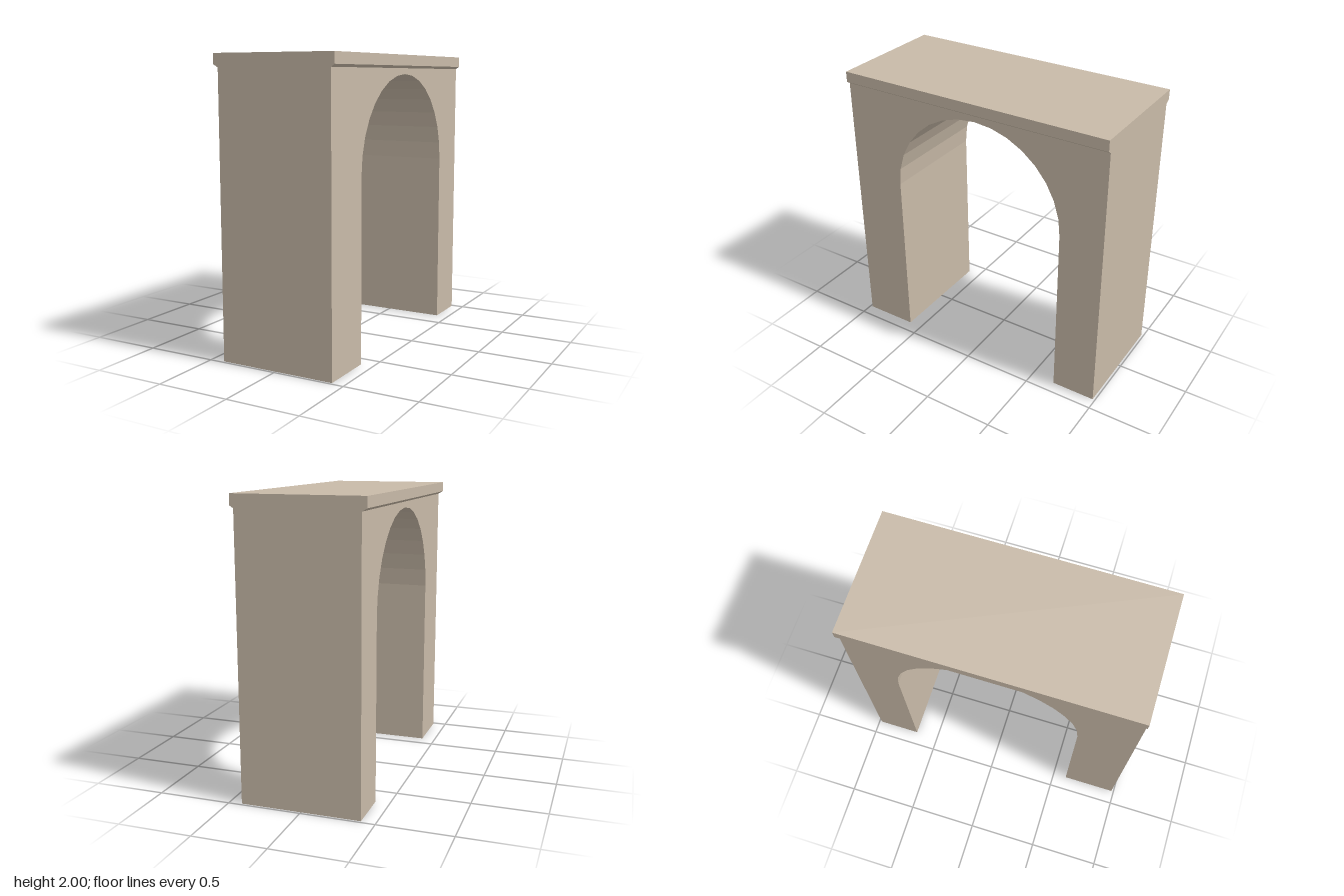
import * as THREE from 'three';

const stone = new THREE.MeshStandardMaterial({ color: 0xc8baa8, flatShading: true });
const HALF_LENGTH = 0.983;
const BODY_TOP = 1.91;

// Outline points to a closed shape
const outline = (points) => new THREE.Shape(points.map(([x, y]) => new THREE.Vector2(x, y)));

// Two piers joined by an off-centre round arch, extruded across the width
function archBody() {
  const center = 0.036, radius = 0.637, spring = 1.233, segments = 16;
  const points = [[-HALF_LENGTH, 0], [center - radius, 0]];
  for (let i = 0; i <= segments; i++) {
    const a = Math.PI * (1 - i / segments);
    points.push([center + radius * Math.cos(a), spring + radius * Math.sin(a)]);
  }
  points.push([center + radius, 0], [HALF_LENGTH, 0], [HALF_LENGTH, BODY_TOP], [-HALF_LENGTH, BODY_TOP]);

  const back = -0.403, front = 0.413;
  const geometry = new THREE.ExtrudeGeometry(outline(points), { depth: front - back, bevelEnabled: false });
  geometry.translate(0, 0, back).rotateY(Math.PI / 2);
  const mesh = new THREE.Mesh(geometry, stone);
  mesh.name = 'archBody';
  return mesh;
}

// Top slab whose overhang is chamfered back to the walls
function corniceSlab() {
  const profile = outline([
    [-0.403, BODY_TOP], [0.413, BODY_TOP], [0.438, 1.927],
    [0.438, 2], [-0.438, 2], [-0.438, 1.93],
  ]);
  const geometry = new THREE.ExtrudeGeometry(profile, { depth: 2 * HALF_LENGTH, bevelEnabled: false });
  geometry.translate(0, 0, -HALF_LENGTH);
  const mesh = new THREE.Mesh(geometry, stone);
  mesh.name = 'corniceSlab';
  return mesh;
}

export function createModel() {
  const group = new THREE.Group();
  group.name = 'archway';
  group.add(archBody(), corniceSlab());
  return group;
}
